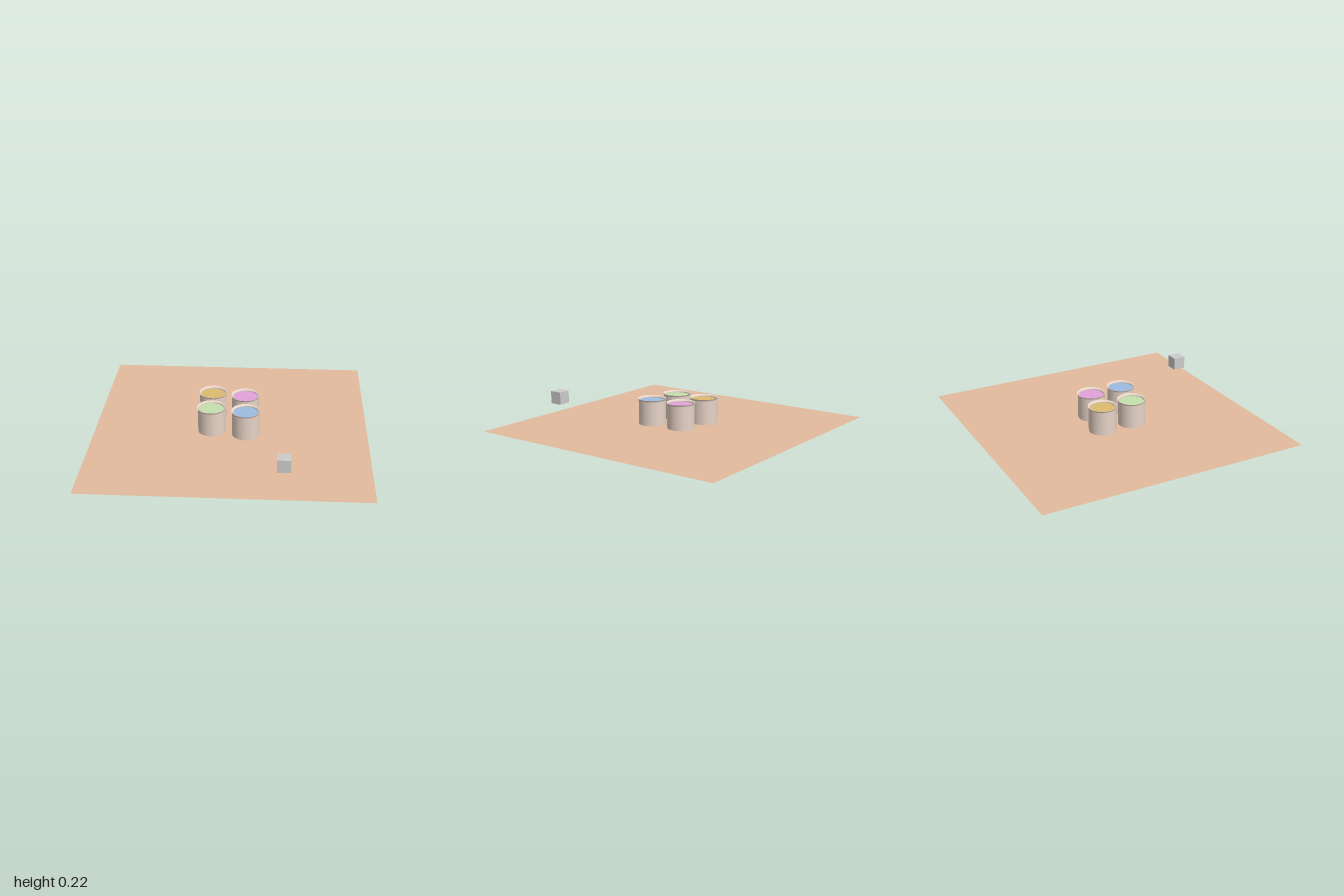
import * as THREE from 'three';

const mat = (color) => new THREE.MeshStandardMaterial({ color, side: THREE.DoubleSide });

function mesh(name, geometry, material) {
  const m = new THREE.Mesh(geometry, material);
  m.name = name;
  return m;
}

// smooth surface of revolution from [radius, height] pairs
function lathe(points) {
  return new THREE.LatheGeometry(points.map(([r, y]) => new THREE.Vector2(r, y)), 40);
}

function createPot(name, x, z, paintColor, potMaterial) {
  const pot = new THREE.Group();
  pot.name = name;
  // separate lathes keep the edges between them sharp
  pot.add(
    mesh('wall', lathe([[0.1, 0], [0.1, 0.178]]), potMaterial),
    mesh('flaredLip', lathe([[0.1, 0.178], [0.102, 0.184], [0.106, 0.19]]), potMaterial),
    mesh('rim', lathe([[0.106, 0.19], [0.096, 0.186], [0.091, 0.18]]), potMaterial),
    mesh('innerWall', lathe([[0.091, 0.18], [0.091, 0.17]]), potMaterial)
  );
  const base = mesh('base', new THREE.CircleGeometry(0.1, 40).rotateX(Math.PI / 2), potMaterial);
  const paint = mesh('paint', new THREE.CircleGeometry(0.091, 40).rotateX(-Math.PI / 2), mat(paintColor));
  paint.position.y = 0.174;
  pot.add(base, paint);
  pot.position.set(x, 0.01, z);
  return pot;
}

export function createModel() {
  const model = new THREE.Group();
  model.name = 'paintPotsOnGround';

  // flat ground sheet
  model.add(mesh('groundSheet', new THREE.PlaneGeometry(2, 2).rotateX(-Math.PI / 2), mat(0xe2ba9c)));

  // four filled pots
  const potMaterial = mat(0xe6d3c6);
  const pots = [
    ['yellowPot', -0.143, -0.137, 0xdcbc72],
    ['pinkPot', 0.1, -0.103, 0xe2a2da],
    ['greenPot', -0.138, 0.106, 0xc4e0ae],
    ['bluePot', 0.113, 0.15, 0x9cbae0],
  ];
  for (const [name, x, z, color] of pots) model.add(createPot(name, x, z, color, potMaterial));

  // small floating cube
  const cube = mesh('smallCube', new THREE.BoxGeometry(0.093, 0.093, 0.093),
    new THREE.MeshStandardMaterial({ color: 0xcccccc }));
  cube.position.set(0.393, 0.17, 0.817);
  model.add(cube);

  return model;
}
